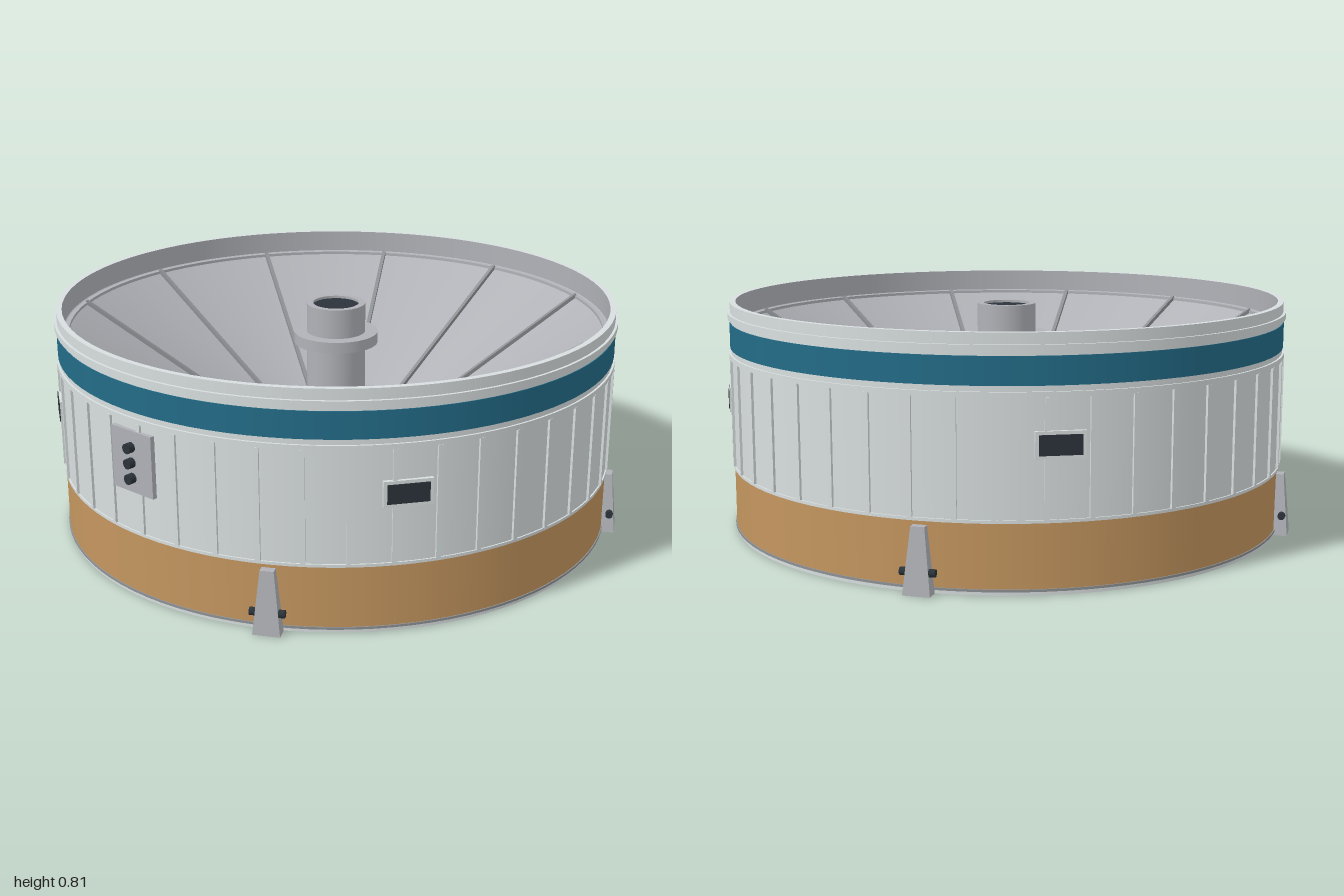
import * as THREE from 'three';

const mat = (name, color) => {
  const m = new THREE.MeshStandardMaterial({ color });
  m.name = name;
  return m;
};

export function createModel() {
  const white = mat('white paint', 0xd8dedf);
  const gold = mat('gold', 0xc4965f);
  const teal = mat('teal', 0x236c88);
  const gray = mat('steel gray', 0xb0b2b7);
  const trim = mat('trim gray', 0x8e9194);
  const dark = mat('dark', 0x2b333a);

  const model = new THREE.Group();
  const add = (name, geo, material, parent = model) => {
    const mesh = new THREE.Mesh(geo, material);
    mesh.name = name;
    parent.add(mesh);
    return mesh;
  };

  // Turned part with hard corners: inner profile points are doubled
  const turned = (name, profile, material, segments = 96) => {
    const pts = profile.flatMap(([r, y], i) => {
      const p = () => new THREE.Vector2(r, y);
      return i === 0 || i === profile.length - 1 ? [p()] : [p(), p()];
    });
    return add(name, new THREE.LatheGeometry(pts, segments), material);
  };
  const hoop = (name, r0, r1, y0, y1, material) =>
    turned(name, [[r0, y0], [r1, y0], [r1, y1], [r0, y1], [r0, y0]], material);

  // Group turned about the axis; its +z points outward
  const station = (name, degrees) => {
    const g = new THREE.Group();
    g.name = name;
    g.rotation.y = THREE.MathUtils.degToRad(degrees);
    model.add(g);
    return g;
  };

  // Outer skin in bands
  const R = 0.985;
  turned('lowerLip', [[0.955, 0], [R, 0], [R, 0.02]], white);
  turned('goldBand', [[R, 0.02], [R, 0.23]], gold);
  turned('panelWall', [[R, 0.23], [R, 0.65]], white);
  turned('tealBand', [[R, 0.65], [R + 0.003, 0.65], [R + 0.003, 0.74], [R, 0.74]], teal);
  turned('topRim', [[R, 0.74], [R, 0.81], [0.965, 0.81]], white);
  hoop('bottomHoop', 0.98, 0.989, 0.012, 0.02, trim);
  hoop('lowerHoop', 0.98, 0.99, 0.228, 0.238, white);
  hoop('panelHoop', 0.98, 0.992, 0.615, 0.632, white);
  hoop('rimHoop', 0.98, 0.994, 0.752, 0.774, white);

  // Vertical stiffeners
  for (let i = 0; i < 44; i++) {
    const g = station('stiffener', 2.2 + (i * 360) / 44);
    add('stiffenerBar', new THREE.BoxGeometry(0.016, 0.378, 0.014), white, g).position.set(0, 0.427, 0.986);
  }

  // Upper interior: rim lining, funnel and floor
  turned('rimLining', [[0.965, 0.81], [0.965, 0.72]], gray);
  hoop('funnelRim', 0.945, 0.967, 0.71, 0.728, gray);
  turned('funnel', [[0.965, 0.73], [0.345, 0.34]], gray);
  turned('funnelFloor', [[0.345, 0.345], [0, 0.345]], gray);
  hoop('floorRing', 0.335, 0.352, 0.335, 0.352, gray);
  const slope = Math.atan2(0.39, 0.62);
  for (let i = 0; i < 12; i++) {
    const g = station('funnelSeam', 15 + i * 30);
    const bar = add('funnelSeamBar', new THREE.BoxGeometry(0.014, 0.02, 0.715), trim, g);
    bar.position.set(0, 0.536, 0.65);
    bar.rotation.x = -slope;
  }

  // Central pipe with collar and dark bore
  turned('pipe', [[0.105, 0.345], [0.105, 0.785], [0.082, 0.785], [0.082, 0.775]], gray, 48);
  hoop('pipeCollar', 0.1, 0.15, 0.64, 0.68, gray);
  turned('pipeBore', [[0.083, 0.776], [0, 0.776]], dark, 48);

  // Recessed underside
  turned('skirtLining', [[0.955, 0.28], [0.955, 0]], white);
  hoop('skirtRing', 0.942, 0.957, 0.1, 0.122, white);
  turned('bulkhead', [[0, 0.27], [0.956, 0.27]], gold);
  hoop('bulkheadSeal', 0.936, 0.956, 0.258, 0.272, dark);
  turned('hubPlate', [[0, 0.262], [0.325, 0.262], [0.325, 0.272]], gray);
  const seal = add('hubSeal', new THREE.TorusGeometry(0.34, 0.013, 8, 72), dark);
  seal.rotation.x = Math.PI / 2;
  seal.position.y = 0.268;
  for (let i = 0; i < 28; i++) {
    const g = station('hubBolt', (i * 360) / 28);
    add('hubBoltHead', new THREE.CylinderGeometry(0.011, 0.011, 0.018, 8), gray, g).position.set(0, 0.264, 0.445);
  }

  // Four tapered clamps with cross bolts
  const clampGeo = new THREE.BoxGeometry(0.09, 0.215, 0.055);
  const pos = clampGeo.attributes.position;
  for (let i = 0; i < pos.count; i++) {
    if (pos.getY(i) > 0) {
      pos.setX(i, pos.getX(i) * 0.5);
      if (pos.getZ(i) > 0) pos.setZ(i, 0.008);
    }
  }
  clampGeo.computeVertexNormals();
  for (let i = 0; i < 4; i++) {
    const g = station('clamp', 45 + i * 90);
    add('clampBody', clampGeo, gray, g).position.set(0, 0.1075, 1.003);
    const bolt = add('clampBolt', new THREE.CylinderGeometry(0.013, 0.013, 0.115, 12), dark, g);
    bolt.rotation.z = Math.PI / 2;
    bolt.position.set(0, 0.072, 1.01);
  }

  // Four framed windows
  for (let i = 0; i < 4; i++) {
    const g = station('window', -20 + i * 90);
    add('windowFrame', new THREE.BoxGeometry(0.158, 0.086, 0.02), white, g).position.set(0, 0.47, 0.985);
    add('windowPane', new THREE.BoxGeometry(0.135, 0.064, 0.006), dark, g).position.set(0, 0.47, 0.995);
  }

  // Control box with three knobs
  const box = station('controlBox', -73);
  add('controlPanel', new THREE.BoxGeometry(0.18, 0.21, 0.03), gray, box).position.set(0, 0.485, 0.982);
  for (const y of [0.43, 0.483, 0.535]) {
    const knob = add('controlKnob', new THREE.CylinderGeometry(0.017, 0.017, 0.03, 16), dark, box);
    knob.rotation.x = Math.PI / 2;
    knob.position.set(0, y, 1.005);
  }
  return model;
}
